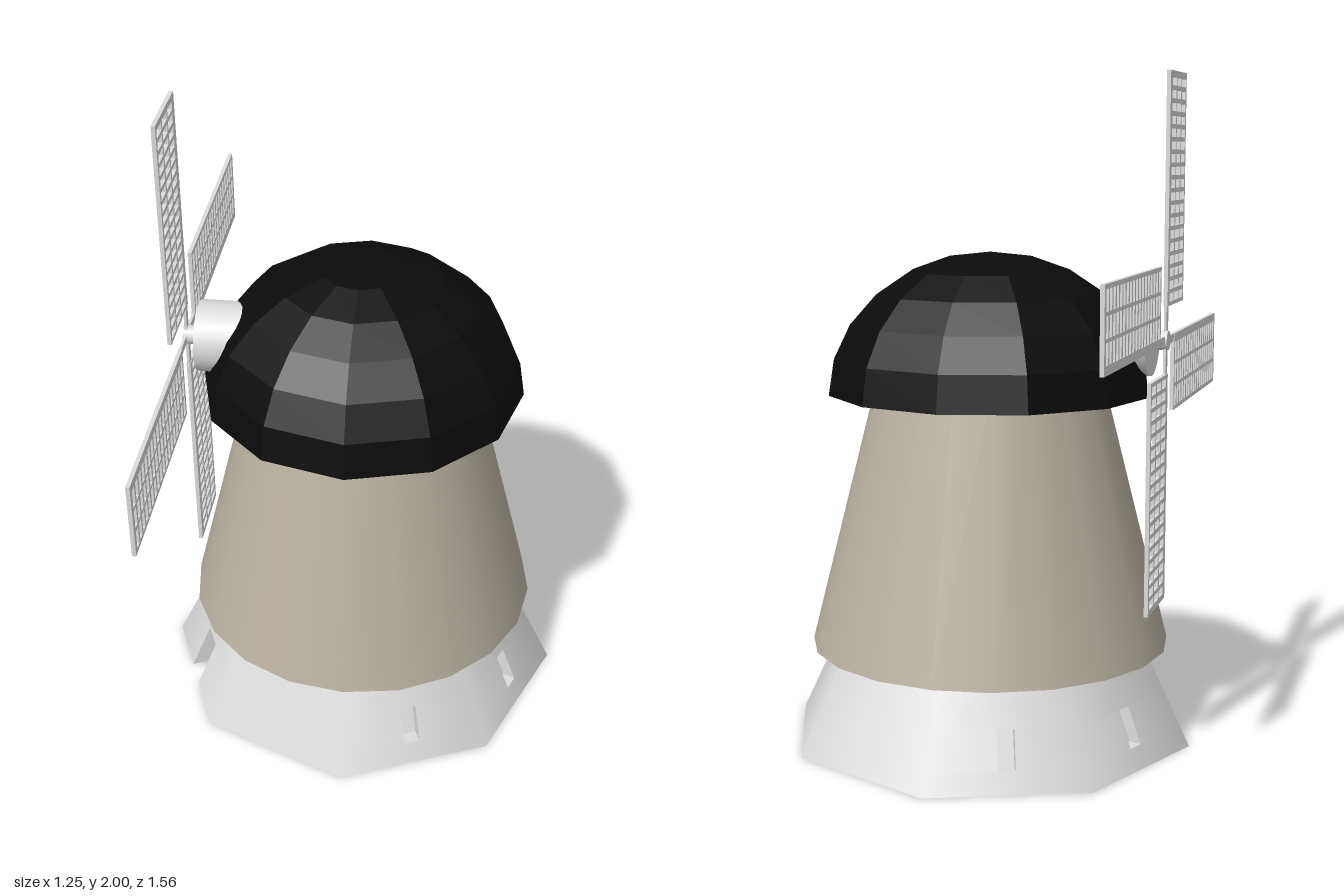
import * as THREE from 'three';

const lightGrey = new THREE.MeshStandardMaterial({ color: 0xdcdcdc });
lightGrey.name = 'light grey';
const recessGrey = lightGrey.clone();
recessGrey.name = 'light grey recess';
recessGrey.side = THREE.DoubleSide;
const stone = new THREE.MeshStandardMaterial({ color: 0xb8b1a2 });
stone.name = 'warm stone';
const black = new THREE.MeshStandardMaterial({ color: 0x0b0b0b });
black.name = 'roof black';

const SLOPE = 0.48, BASE_TOP = 0.29, STEP = Math.PI / 4;

function add(parent, name, geometry, material, x = 0, y = 0, z = 0) {
  const mesh = new THREE.Mesh(geometry, material);
  mesh.name = name;
  mesh.position.set(x, y, z);
  parent.add(mesh);
  return mesh;
}

// Point on a sloping side of the octagonal base: u across, y up, d inward
const apothem = (y) => (0.627 - SLOPE * y) * Math.cos(STEP / 2);
const halfWidth = (y) => apothem(y) * Math.tan(STEP / 2);
function sidePoint(side, u, y, d = 0) {
  const t = (side + 0.5) * STEP, a = apothem(y) - d;
  return [a * Math.cos(t) - u * Math.sin(t), y, a * Math.sin(t) + u * Math.cos(t)];
}

function quadGeometry(quads) {
  const pos = [];
  for (const [a, b, c, d] of quads) pos.push(...a, ...b, ...c, ...a, ...c, ...d);
  const g = new THREE.BufferGeometry();
  g.setAttribute('position', new THREE.Float32BufferAttribute(pos, 3));
  g.computeVertexNormals();
  return g;
}

// Smooth conical normals for the base wall
function smoothCone(g) {
  const p = g.attributes.position, n = new THREE.Vector3();
  for (let i = 0; i < p.count; i++) {
    const t = Math.atan2(p.getZ(i), p.getX(i));
    n.set(Math.cos(t), SLOPE, Math.sin(t)).normalize();
    g.attributes.normal.setXYZ(i, n.x, n.y, n.z);
  }
  return g;
}

function createBase() {
  const base = new THREE.Group();
  base.name = 'base';
  const windowHole = { w: 0.025, y0: 0.06, y1: 0.165, d: 0.04 };
  const doorHole = { w: 0.045, y0: 0, y1: 0.147, d: 0.05 };
  const holes = { 0: windowHole, 1: windowHole, 3: doorHole, 4: windowHole, 5: windowHole };
  const wall = [], floor = [];

  for (let s = 0; s < 8; s++) {
    const P = (u, y, d) => sidePoint(s, u, y, d);
    // u limits may depend on height, so the strips follow the taper
    const strip = (left, right, y0, y1) =>
      wall.push([P(left(y0), y0), P(right(y0), y0), P(right(y1), y1), P(left(y1), y1)]);
    const edge = halfWidth, otherEdge = (y) => -halfWidth(y);
    const hole = holes[s];
    floor.push(P(-halfWidth(0), 0));
    if (!hole) {
      strip(edge, otherEdge, 0, BASE_TOP);
      continue;
    }
    const { w, y0, y1, d } = hole;
    if (y0 > 0) strip(edge, otherEdge, 0, y0);
    strip(edge, () => w, y0, y1);
    strip(() => -w, otherEdge, y0, y1);
    strip(edge, otherEdge, y1, BASE_TOP);

    // Reveal and back of the opening
    const o = [P(w, y0), P(-w, y0), P(-w, y1), P(w, y1)];
    const i = [P(w, y0, d), P(-w, y0, d), P(-w, y1, d), P(w, y1, d)];
    const reveal = [i];
    for (let k = y0 > 0 ? 0 : 1; k < 4; k++) {
      const m = (k + 1) % 4;
      reveal.push([o[k], o[m], i[m], i[k]]);
    }
    add(base, hole === doorHole ? 'doorRecess' : 'windowRecess', quadGeometry(reveal), recessGrey);
    // The doorway also notches the floor plate
    if (y0 === 0) floor.push(P(-w, 0), P(-w, 0, d), P(w, 0, d), P(w, 0));
  }
  add(base, 'baseWall', smoothCone(quadGeometry(wall)), lightGrey);
  const outline = new THREE.Shape(floor.map(([x, , z]) => new THREE.Vector2(x, z)));
  add(base, 'baseFloor', new THREE.ShapeGeometry(outline).rotateX(Math.PI / 2), lightGrey);
  return base;
}

// Lattice sail, pointing up with its mast along one edge
function sailGeometry() {
  const rect = (S, x0, y0, x1, y1) => new S([
    new THREE.Vector2(x0, y0), new THREE.Vector2(x1, y0),
    new THREE.Vector2(x1, y1), new THREE.Vector2(x0, y1)]);
  const shape = rect(THREE.Shape, -0.01, 0.1, 0.222, 0.78);
  for (let row = 0; row < 18; row++)
    for (let col = 0; col < 3; col++) {
      const x = 0.016 + col * 0.068, y = 0.112 + row * 0.0368;
      shape.holes.push(rect(THREE.Path, x, y, x + 0.057, y + 0.024));
    }
  return new THREE.ExtrudeGeometry(shape, { depth: 0.012, bevelEnabled: false })
    .translate(0, 0, -0.006).rotateY(-Math.PI / 2);
}

function createRotor() {
  const rotor = new THREE.Group();
  rotor.name = 'rotor';
  rotor.position.set(-0.528, 1.22, 0);
  const sail = sailGeometry();
  const mast = new THREE.BoxGeometry(0.008, 0.12, 0.024).translate(0, 0.06, 0.002);
  for (let k = 0; k < 4; k++) {
    const arm = new THREE.Group();
    arm.name = 'sailArm';
    arm.rotation.x = k * Math.PI / 2;
    add(arm, 'sail', sail, lightGrey);
    add(arm, 'mast', mast, lightGrey);
    rotor.add(arm);
  }
  // Axle and the drum that runs into the cap
  add(rotor, 'axle', new THREE.CylinderGeometry(0.029, 0.029, 0.06, 16).rotateZ(Math.PI / 2), lightGrey, 0.021);
  add(rotor, 'hubDrum', new THREE.CylinderGeometry(0.108, 0.108, 0.2, 24).rotateZ(Math.PI / 2), lightGrey, 0.14);
  return rotor;
}

export function createModel() {
  const model = new THREE.Group();
  model.name = 'windmill';

  const tower = new THREE.Group();
  tower.name = 'tower';
  tower.position.z = -0.04;
  tower.add(createBase());
  add(tower, 'towerBody', new THREE.CylinderGeometry(0.345, 0.545, 0.795, 20), stone, 0, 0.6825);

  // Twelve-sided domed cap with a closed underside
  const dome = [new THREE.Vector2(0, 0)];
  for (let i = 0; i <= 6; i++) {
    const a = i * Math.PI / 12;
    dome.push(new THREE.Vector2(i === 6 ? 0 : 0.49 * Math.cos(a), 0.42 * Math.sin(a)));
  }
  const cap = new THREE.LatheGeometry(dome, 12).toNonIndexed();
  cap.computeVertexNormals();
  add(tower, 'cap', cap, black, 0, 1.053);

  model.add(tower, createRotor());
  return model;
}
